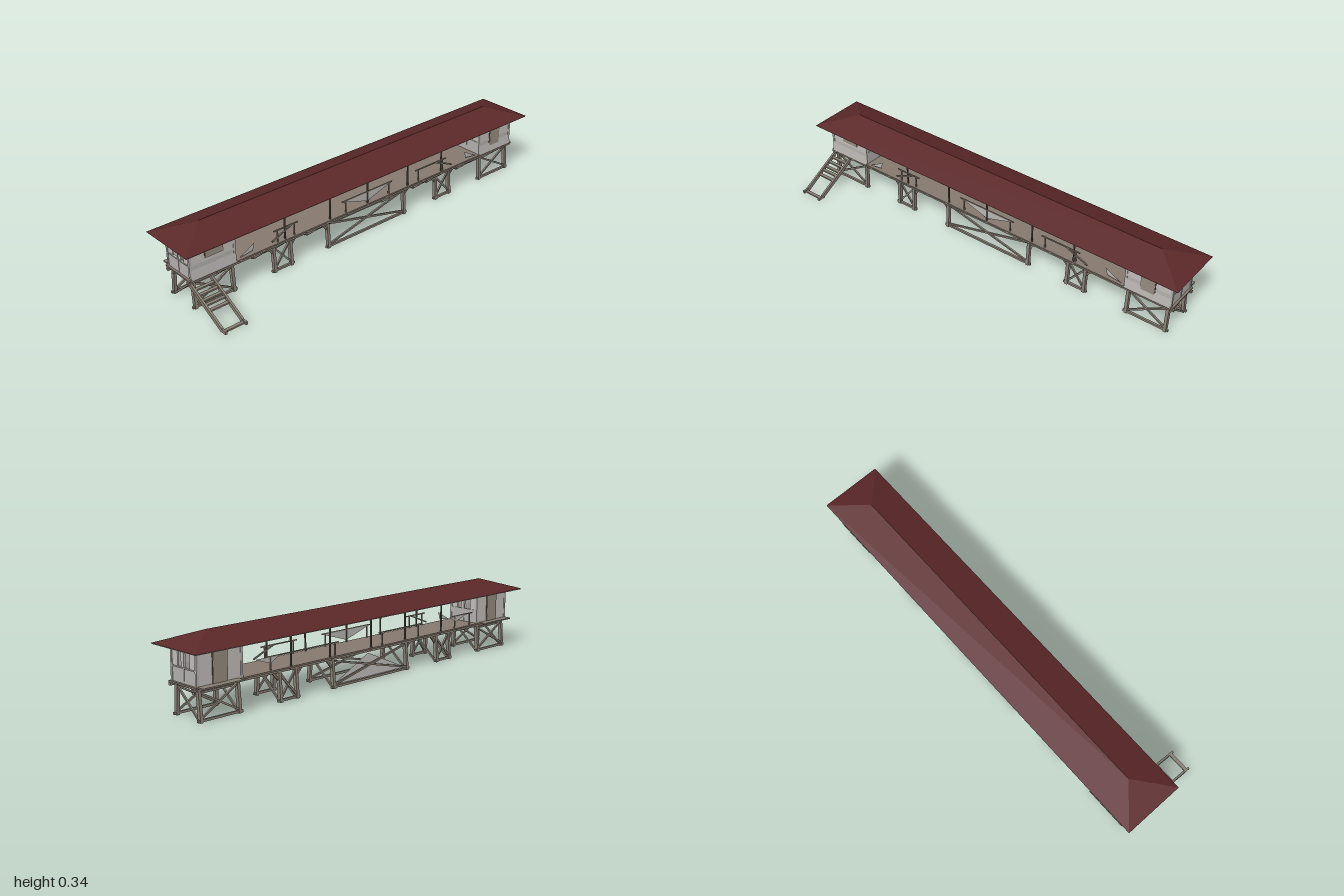
import * as THREE from 'three';

const mat = (name, color, side = THREE.FrontSide) => {
  const m = new THREE.MeshStandardMaterial({ color, side });
  m.name = name;
  return m;
};

export function createModel() {
  const wood = mat('weathered wood', 0x8a8074);
  const floorWood = mat('floor boards', 0x86796f);
  const trim = mat('dark trim', 0x5a534c);
  const wallPaint = mat('upper wall grey', 0xc3bfbc);
  const lowPaint = mat('lower wall grey', 0xb5b2b0);
  const doorPaint = mat('door brown', 0x988c80);
  const roofRed = mat('roof red', 0x5b2829, THREE.DoubleSide);
  const soffitGrey = mat('soffit grey', 0x9c9b98, THREE.DoubleSide);
  const sheet = mat('loose sheet grey', 0xbab8b5, THREE.DoubleSide);

  const root = new THREE.Group();
  root.name = 'coveredWalkway';
  const group = (name) => {
    const g = new THREE.Group();
    g.name = name;
    root.add(g);
    return g;
  };
  const add = (parent, name, geo, material) => {
    const m = new THREE.Mesh(geo, material);
    m.name = name;
    parent.add(m);
    return m;
  };
  // Box given by its limits on each axis
  const box = (p, name, x0, x1, y0, y1, z0, z1, m) => {
    const b = add(p, name, new THREE.BoxGeometry(x1 - x0, y1 - y0, z1 - z0), m);
    b.position.set((x0 + x1) / 2, (y0 + y1) / 2, (z0 + z1) / 2);
  };
  // Timber between two points, w wide and d deep
  const beam = (p, name, a, b, w, m = wood, d = w) => {
    const A = new THREE.Vector3(...a), B = new THREE.Vector3(...b);
    const t = add(p, name, new THREE.BoxGeometry(w, d, A.distanceTo(B)), m);
    t.position.copy(A).add(B).multiplyScalar(0.5);
    t.lookAt(B);
  };
  // Flat polygon from corner points, as a fan
  const face = (p, name, pts, m) => {
    const g = new THREE.BufferGeometry();
    const idx = [];
    for (let i = 1; i < pts.length - 1; i++) idx.push(0, i, i + 1);
    g.setAttribute('position', new THREE.Float32BufferAttribute(pts.flat(), 3));
    g.setIndex(idx);
    g.computeVertexNormals();
    add(p, name, g, m);
  };
  // Thin wall panel in the xy plane with rectangular openings [x0, x1, y0, y1]
  const panel = (p, name, x0, x1, y0, y1, holes, m) => {
    const rect = (S, a, b, c, d) => new S().moveTo(a, c).lineTo(b, c).lineTo(b, d).lineTo(a, d).closePath();
    const s = rect(THREE.Shape, x0, x1, y0, y1);
    holes.forEach(h => s.holes.push(rect(THREE.Path, ...h)));
    return add(p, name, new THREE.ExtrudeGeometry(s, { depth: 0.005, bevelEnabled: false }), m);
  };

  // Hipped roof with a flat soffit
  const roof = group('roof');
  const zF = 0.06, zB = -0.226, zR = -0.083, eave = 0.289, top = 0.342, rx = 0.84;
  const fl = [-1, eave, zF], fr = [1, eave, zF], br = [1, eave, zB], bl = [-1, eave, zB];
  const rl = [-rx, top, zR], rr = [rx, top, zR];
  face(roof, 'frontSlope', [fl, fr, rr, rl], roofRed);
  face(roof, 'backSlope', [br, bl, rl, rr], roofRed);
  face(roof, 'leftHip', [fr, br, rr], roofRed);
  face(roof, 'rightHip', [bl, fl, rl], roofRed);
  box(roof, 'soffit', -0.997, 0.997, 0.285, 0.288, zB + 0.003, zF - 0.003, soffitGrey);

  // Deck with edge beams and joists
  const deck = group('deck');
  box(deck, 'floor', -0.96, 0.96, 0.136, 0.143, -0.168, 0.006, floorWood);
  for (const z of [-0.005, -0.152]) box(deck, 'edgeBeam', -0.965, 0.965, 0.125, 0.136, z - 0.006, z + 0.006, wood);
  for (let i = 0; i <= 16; i++) {
    const x = -0.94 + i * 0.1175;
    box(deck, 'joist', x - 0.005, x + 0.005, 0.128, 0.136, -0.16, 0.002, wood);
  }
  for (const s of [-1, 1]) {
    box(deck, 'backLanding', s * 0.85 - 0.1, s * 0.85 + 0.1, 0.139, 0.145, -0.2, -0.16, wood);
    box(deck, 'lowerRail', s * 0.85 - 0.1, s * 0.85 + 0.1, 0.11, 0.118, -0.145, -0.13, wood);
  }

  // Trestles: leaning legs, sills and crossed braces
  const trestle = (x0, x1, knees) => {
    const g = group('trestle');
    for (const [zb, zt] of [[-0.006, -0.014], [-0.16, -0.149]]) {
      for (const x of [x0, x1]) beam(g, 'leg', [x, 0, zb], [x, 0.127, zt], 0.014, wood, 0.017);
      beam(g, 'sill', [x0 - 0.015, 0.008, zb], [x1 + 0.015, 0.008, zb], 0.01);
      beam(g, 'brace', [x0, 0.015, zb], [x1, 0.12, zt], 0.008);
      beam(g, 'brace', [x1, 0.015, zb], [x0, 0.12, zt], 0.008);
      if (knees) {
        beam(g, 'knee', [x0, 0.09, zt], [x0 - 0.035, 0.13, zt], 0.009);
        beam(g, 'knee', [x1, 0.09, zt], [x1 + 0.035, 0.13, zt], 0.009);
      }
    }
    for (const x of [x0, x1]) beam(g, 'sideBrace', [x, 0.122, -0.015], [x, 0.005, -0.152], 0.008);
  };
  trestle(-0.935, -0.745, false);
  trestle(-0.53, -0.44, true);
  trestle(-0.23, 0.23, true);
  trestle(0.44, 0.53, true);
  trestle(0.745, 0.935, false);

  // End cabins with windows, doors and corner posts
  const y0 = 0.143, ym = 0.203, y1 = 0.285;
  for (const s of [-1, 1]) {
    const g = group(s < 0 ? 'rightCabin' : 'leftCabin');
    const a = s < 0 ? -0.95 : 0.73, b = a + 0.22, c = (a + b) / 2;
    const zFront = -0.006, zBack = -0.163;
    panel(g, 'frontWall', a, b, ym, y1, [], wallPaint).position.z = zFront;
    panel(g, 'frontLowerWall', a, b, y0, ym, [], lowPaint).position.z = zFront;
    panel(g, 'backWall', a, b, y0, y1, [], wallPaint).position.z = zBack;
    if (s < 0) {
      box(g, 'windowFrame', -0.878, -0.787, 0.217, 0.271, -0.002, 0.001, trim);
      box(g, 'windowPane', -0.875, -0.79, 0.22, 0.268, -0.002, 0.003, doorPaint);
    } else {
      box(g, 'frontDoorFrame', 0.802, 0.873, y0, 0.273, -0.002, 0.001, trim);
      box(g, 'frontDoor', 0.805, 0.87, y0, 0.27, -0.002, 0.003, doorPaint);
    }
    box(g, 'backDoorFrame', c - 0.037, c + 0.037, y0, 0.275, -0.166, -0.162, trim);
    box(g, 'backDoor', c - 0.035, c + 0.035, y0, 0.272, -0.168, -0.162, doorPaint);
    // Walls across the ends, with a pair of openings
    for (const x of [a, b - 0.005]) {
      const up = panel(g, 'endWall', 0.002, 0.162, ym, y1, [[0.043, 0.064, 0.207, 0.267], [0.084, 0.12, 0.207, 0.267]], wallPaint);
      const low = panel(g, 'endLowerWall', 0.002, 0.162, y0, ym, [], lowPaint);
      for (const w of [up, low]) {
        w.rotation.y = Math.PI / 2;
        w.position.x = x;
      }
      box(g, 'sillRail', x - 0.003, x + 0.008, 0.202, 0.207, -0.163, -0.002, lowPaint);
      box(g, 'mullion', x - 0.002, x + 0.007, y0, y1, -0.085, -0.08, lowPaint);
      for (const z of [-0.16, -0.004]) box(g, 'cornerPost', x - 0.003, x + 0.008, y0, y1, z - 0.005, z + 0.005, lowPaint);
    }
    // Slanting outer skirt at the foot of the front wall
    face(g, 'skirt', [[a, y0, 0.008], [b, y0, 0.008], [b, 0.185, 0], [a, 0.185, 0]], lowPaint);
  }

  // Walkway posts and broken handrails
  const walk = group('walkway');
  for (const x of [-0.47, -0.22, 0, 0.25, 0.47]) {
    for (const z of [-0.004, -0.158]) box(walk, 'roofPost', x - 0.003, x + 0.003, y0, 0.286, z - 0.003, z + 0.003, trim);
  }
  const rails = [[-0.33, -0.05, -0.158], [0.2, 0.6, -0.158], [-0.53, -0.4, -0.004], [-0.15, 0.15, -0.004], [0.3, 0.5, -0.004], [-0.7, -0.55, -0.158]];
  for (const [p, q, z] of rails) {
    beam(walk, 'handrail', [p, 0.2, z], [q, 0.2, z], 0.005);
    for (const x of [p + 0.02, q - 0.02]) beam(walk, 'railPost', [x, y0, z], [x, 0.2, z], 0.005);
  }
  for (const s of [-1, 1]) beam(walk, 'fallenRail', [s * 0.43, 0.2, -0.004], [s * 0.54, 0.155, -0.004], 0.006);

  // Loose sheets hanging in the bays
  const sheets = group('looseSheets');
  face(sheets, 'railSheet', [[-0.16, 0.203, -0.004], [0, 0.152, -0.004], [0.16, 0.203, -0.004]], sheet);
  face(sheets, 'lowerSheet', [[-0.23, 0.012, -0.15], [0.23, 0.012, -0.15], [0, 0.115, -0.14]], sheet);
  for (const s of [-1, 1]) {
    face(sheets, 'sideSheet', [[s * 0.66, 0.2, -0.158], [s * 0.53, 0.2, -0.158], [s * 0.58, 0.172, -0.158]], sheet);
    face(sheets, 'endSheet', [[s * 0.63, 0.19, -0.004], [s * 0.71, 0.145, -0.004], [s * 0.64, 0.155, -0.004]], sheet);
  }

  // Stairs at the front of the right cabin
  const stairs = group('stairs');
  for (const x of [-0.951, -0.852]) {
    beam(stairs, 'stringer', [x, 0.122, -0.01], [x, 0.01, 0.2], 0.01, wood, 0.018);
    box(stairs, 'stringerFoot', x - 0.005, x + 0.005, 0.002, 0.016, 0.19, 0.228, wood);
  }
  for (const z of [0.02, 0.045, 0.07, 0.09, 0.115, 0.212]) {
    const y = Math.max(0.008, 0.122 - (z + 0.01) * 0.533);
    box(stairs, 'tread', -0.95, -0.853, y - 0.003, y + 0.004, z - 0.008, z + 0.008, wood);
  }
  return root;
}
